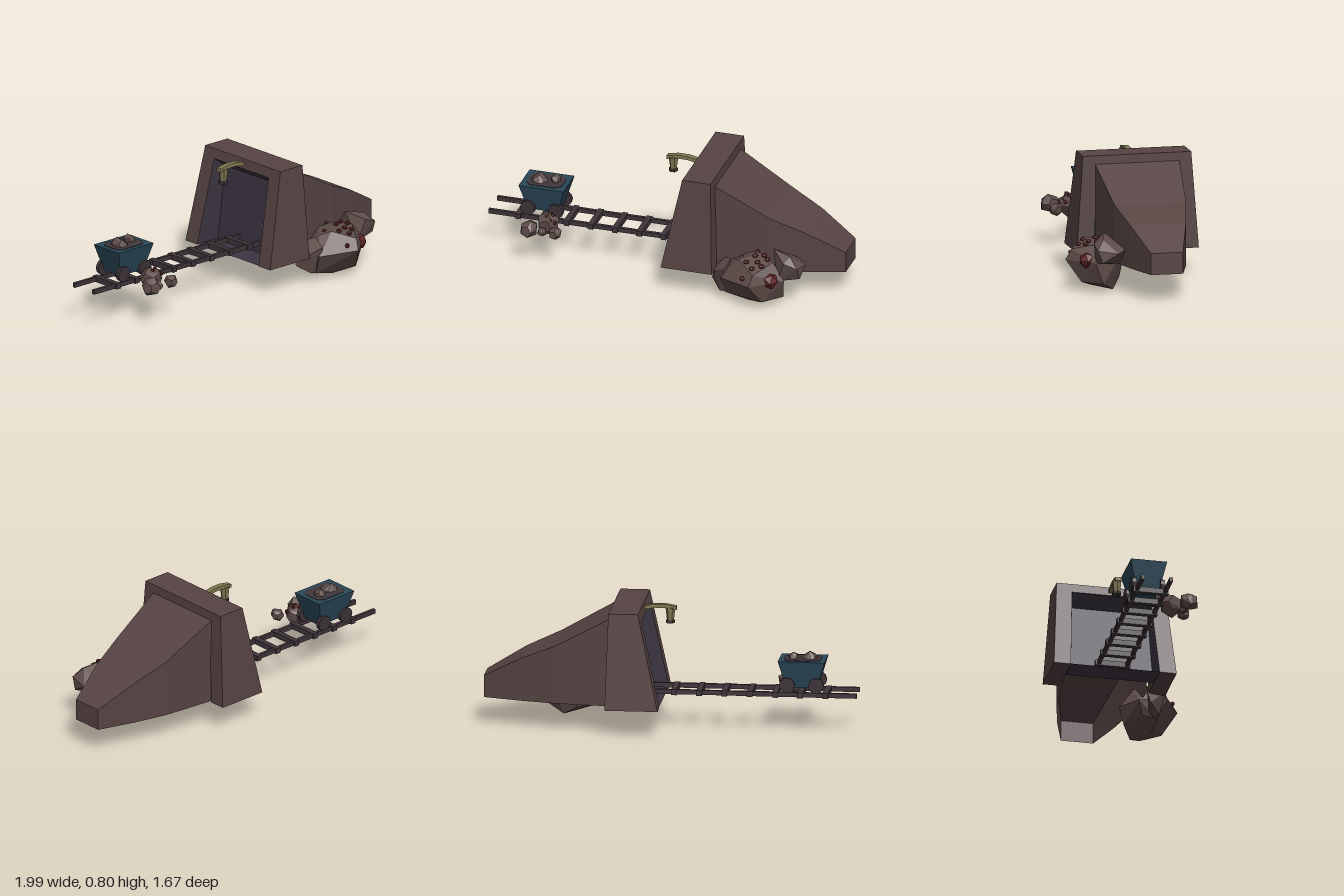
import * as THREE from 'three';
import { ConvexGeometry } from 'three/addons/geometries/ConvexGeometry.js';

const mat = (name, color) => {
  const m = new THREE.MeshStandardMaterial({ color, flatShading: true, side: THREE.DoubleSide });
  m.name = name;
  return m;
};

// Faceted surface through cross-sections; each section is a list of [x, y, z].
function loft(sections, closed, capEnds) {
  const v = [];
  const tri = (a, b, c) => v.push(...a, ...b, ...c);
  const n = sections[0].length;
  for (let s = 0; s < sections.length - 1; s++) {
    const A = sections[s], B = sections[s + 1];
    for (let i = 0; i < (closed ? n : n - 1); i++) {
      const j = (i + 1) % n;
      tri(A[i], A[j], B[j]);
      tri(A[i], B[j], B[i]);
    }
  }
  const cap = (S, flip) => {
    for (let i = 1; i < n - 1; i++) flip ? tri(S[0], S[i + 1], S[i]) : tri(S[0], S[i], S[i + 1]);
  };
  if (capEnds.includes('start')) cap(sections[0], true);
  if (capEnds.includes('end')) cap(sections[sections.length - 1], false);
  const g = new THREE.BufferGeometry();
  g.setAttribute('position', new THREE.Float32BufferAttribute(v, 3));
  g.computeVertexNormals();
  return g;
}

// Irregular stone: a low polyhedron whose corners are pushed in and out.
function stone(r, seed) {
  const g = new THREE.DodecahedronGeometry(r, 0);
  const p = g.attributes.position, q = new THREE.Vector3(), corners = [];
  for (let i = 0; i < p.count; i++) {
    q.fromBufferAttribute(p, i);
    const k = Math.sin(Math.round(q.x / r * 50) * 1.3 + Math.round(q.y / r * 50) * 2.1
      + Math.round(q.z / r * 50) * 3.7 + seed);
    corners.push(q.clone().multiplyScalar(1 + 0.14 * k));
  }
  return new ConvexGeometry(corners);
}

const hull = (points) => new ConvexGeometry(points.map((p) => new THREE.Vector3(...p)));
const outline = (points) => new THREE.Shape(points.map(([x, y]) => new THREE.Vector2(x, y)));

export function createModel() {
  const M = {
    earth: mat('brown rock face', 0x564443),
    inside: mat('tunnel dark', 0x3c3542),
    rail: mat('rail iron', 0x3f343a),
    cart: mat('cart blue', 0x2a4758),
    wheel: mat('wheel dark', 0x3b3237),
    load: mat('cart bed', 0x41383c),
    stone: mat('loose stone', 0x5e4c49),
    gem: mat('red ore', 0x622424),
    brass: mat('lamp brass', 0x827852),
    glass: mat('lamp shade end', 0x3a3630),
  };
  const model = new THREE.Group();
  const mine = new THREE.Group(); // local +z runs out of the tunnel along the track
  mine.name = 'mine';
  mine.rotation.y = -0.89;
  mine.position.set(-0.001, 0, -0.004);
  model.add(mine);
  const add = (parent, name, geo, m, x = 0, y = 0, z = 0) => {
    const mesh = new THREE.Mesh(geo, m);
    mesh.name = name;
    mesh.position.set(x, y, z);
    parent.add(mesh);
    return mesh;
  };
  const Y0 = 0.177, Y1 = 0.8;
  const frontZ = (y) => -0.05 - 0.13 * (y - Y0) / (Y1 - Y0);
  const backZ = (y) => -0.39 + 0.02 * (y - Y0) / (Y1 - Y0);

  // Portal: an arch outline extruded, then leaned back
  const arch = outline([[-0.4, Y0], [-0.29, Y0], [-0.257, 0.738], [0.257, 0.738], [0.29, Y0], [0.4, Y0],
    [0.355, Y1], [-0.355, Y1]]);
  const portal = new THREE.ExtrudeGeometry(arch, { depth: 1, bevelEnabled: false });
  const pp = portal.attributes.position;
  for (let i = 0; i < pp.count; i++) {
    const y = pp.getY(i);
    pp.setZ(i, pp.getZ(i) > 0.5 ? frontZ(y) : backZ(y));
  }
  portal.computeVertexNormals();
  add(mine, 'portal', portal, M.earth);

  // Hill tapering away behind the portal, open underneath
  const spine = [[-0.375, 0.275, 0.745], [-0.73, 0.235, 0.55], [-0.95, 0.182, 0.455], [-1.195, 0.105, 0.317]];
  const section = ([z, w, top]) => [[-w, Y0, z], [-w, top, z], [w, top, z], [w, Y0, z]];
  add(mine, 'hill', loft(spine.map(section), false, 'end'), M.earth);

  // Shallow tunnel: floor, walls, sloping ceiling and a blank end wall
  const mouth = [[-0.289, Y0 + 0.003, -0.053], [-0.256, 0.736, -0.169], [0.256, 0.736, -0.169], [0.289, Y0 + 0.003, -0.053]];
  const endWall = [[-0.284, Y0 + 0.003, -0.225], [-0.255, 0.67, -0.26], [0.255, 0.67, -0.26], [0.284, Y0 + 0.003, -0.225]];
  add(mine, 'tunnel', loft([mouth, endWall], true, 'end'), M.inside);

  // Track
  for (const s of [-1, 1]) add(mine, 'rail', new THREE.BoxGeometry(0.021, 0.03, 1.445), M.rail, s * 0.092, 0.241, 0.4725);
  for (let i = 0; i < 8; i++) {
    add(mine, 'sleeper', new THREE.BoxGeometry(0.228, 0.036, 0.036), M.rail, 0, 0.24, 0.995 - 0.162 * i);
  }

  // Cart
  const cart = new THREE.Group();
  cart.name = 'cart';
  cart.position.set(-0.008, 0, 0.841);
  mine.add(cart);
  const rect = (w, d, y) => [[-w, y, -d], [w, y, -d], [w, y, d], [-w, y, d]];
  add(cart, 'cartBody', loft([rect(0.078, 0.1, 0.285), rect(0.118, 0.15, 0.46)], true, 'start end'), M.cart);
  const bed = outline([[-0.087, -0.085], [-0.055, -0.117], [0.055, -0.117], [0.087, -0.085],
    [0.087, 0.085], [0.055, 0.117], [-0.055, 0.117], [-0.087, 0.085]]);
  const bedGeo = new THREE.ExtrudeGeometry(bed, { depth: 0.005, bevelEnabled: false }).rotateX(-Math.PI / 2);
  add(cart, 'cartBed', bedGeo, M.load, 0, 0.459, 0);
  for (const sx of [-1, 1]) for (const sz of [-1, 1]) {
    const wheel = new THREE.CylinderGeometry(0.05, 0.05, 0.028, 12).rotateZ(Math.PI / 2);
    add(cart, 'wheel', wheel, M.wheel, sx * 0.093, 0.303, sz * 0.093);
  }
  add(cart, 'cartStone', stone(0.062, 1), M.stone, 0.005, 0.449, 0.044);
  add(cart, 'cartStone', stone(0.038, 2), M.stone, -0.015, 0.467, -0.06);

  // Lamp on a flat bent arm over the entrance
  const bend = [[-0.19, 0.765], [-0.11, 0.781], [-0.04, 0.781], [0.03, 0.768]].map(([z, y]) => [
    [-0.018, y - 0.012, z], [-0.018, y + 0.012, z], [0.018, y + 0.012, z], [0.018, y - 0.012, z]]);
  add(mine, 'lampArm', loft(bend, true, 'start end'), M.brass);
  add(mine, 'lampBody', new THREE.CylinderGeometry(0.032, 0.022, 0.085, 6), M.brass, 0, 0.728, -0.01);
  add(mine, 'lampGlass', new THREE.CylinderGeometry(0.03, 0.03, 0.018, 6), M.glass, 0, 0.68, -0.01);

  // Ore boulder beside the hill
  add(model, 'oreBoulder', hull([
    [0.62, 0.29, -0.06], [0.72, 0.335, -0.2], [0.84, 0.31, -0.22], [0.86, 0.27, -0.05], [0.7, 0.32, -0.05],
    [0.62, 0.3, -0.2], [0.5, 0.16, -0.1], [0.62, 0.18, 0.04], [0.87, 0.2, -0.01], [0.92, 0.2, -0.25],
    [0.78, 0.2, -0.33], [0.58, 0.18, -0.28], [0.55, 0.07, -0.1], [0.6, 0.05, -0.02], [0.71, 0, -0.27],
    [0.87, 0.06, -0.28], [0.86, 0.06, -0.12], [0.71, 0.015, -0.12], [0.6, 0.06, -0.26],
  ]), M.stone);
  add(model, 'sideBoulder', hull([
    [0.8, 0.385, -0.25], [0.92, 0.36, -0.3], [0.995, 0.3, -0.3], [0.98, 0.22, -0.33], [0.93, 0.28, -0.415],
    [0.83, 0.29, -0.415], [0.745, 0.26, -0.33], [0.88, 0.19, -0.23], [0.8, 0.19, -0.36], [0.93, 0.33, -0.24],
  ]), M.stone);
  add(model, 'frontBoulder', hull([
    [0.465, 0.18, -0.02], [0.47, 0.11, 0], [0.53, 0.26, -0.06], [0.6, 0.28, -0.06], [0.64, 0.24, 0.03],
    [0.56, 0.2, 0.045], [0.57, 0.06, 0.01], [0.62, 0.05, -0.04], [0.52, 0.07, -0.04],
  ]), M.stone);

  // Red ore: one large crystal and a scatter of nuggets on the sloping top
  add(model, 'largeOre', new THREE.IcosahedronGeometry(0.056, 0), M.gem, 0.88, 0.21, -0.17);
  const topY = (x, z) => THREE.MathUtils.lerp(0.32 - 0.31 * (x - 0.7), 0.335 - 0.2 * (x - 0.72), (-0.05 - z) / 0.15);
  const nuggets = [[0.735, -0.155], [0.81, -0.2], [0.79, -0.135], [0.75, -0.075], [0.815, -0.075], [0.765, -0.205], [0.835, -0.135]];
  for (const [x, z] of nuggets) {
    const n = add(model, 'oreNugget', new THREE.IcosahedronGeometry(0.02, 0), M.gem, x, topY(x, z) + 0.006, z);
    n.scale.y = 0.75;
  }
  for (const [x, y, z] of [[0.8, 0.235, -0.012], [0.68, 0.32, -0.21], [0.66, 0.305, -0.1]]) {
    add(model, 'oreNugget', new THREE.IcosahedronGeometry(0.017, 0), M.gem, x, y, z);
  }

  // Loose stones beside the cart
  const loose = [[-0.485, 0.255, 0.615, 0.075], [-0.364, 0.245, 0.647, 0.043], [-0.5, 0.253, 0.76, 0.06], [-0.45, 0.235, 0.695, 0.03]];
  loose.forEach(([x, y, z, r], i) => add(model, 'looseStone', stone(r, i + 3), M.stone, x, y, z));
  const looseOre = [[-0.5, 0.315, 0.6], [-0.465, 0.316, 0.6], [-0.48, 0.317, 0.635], [-0.445, 0.3, 0.635], [-0.425, 0.285, 0.61]];
  for (const [x, y, z] of looseOre) {
    add(model, 'looseNugget', new THREE.IcosahedronGeometry(0.015, 0), M.gem, x, y, z);
  }
  return model;
}
